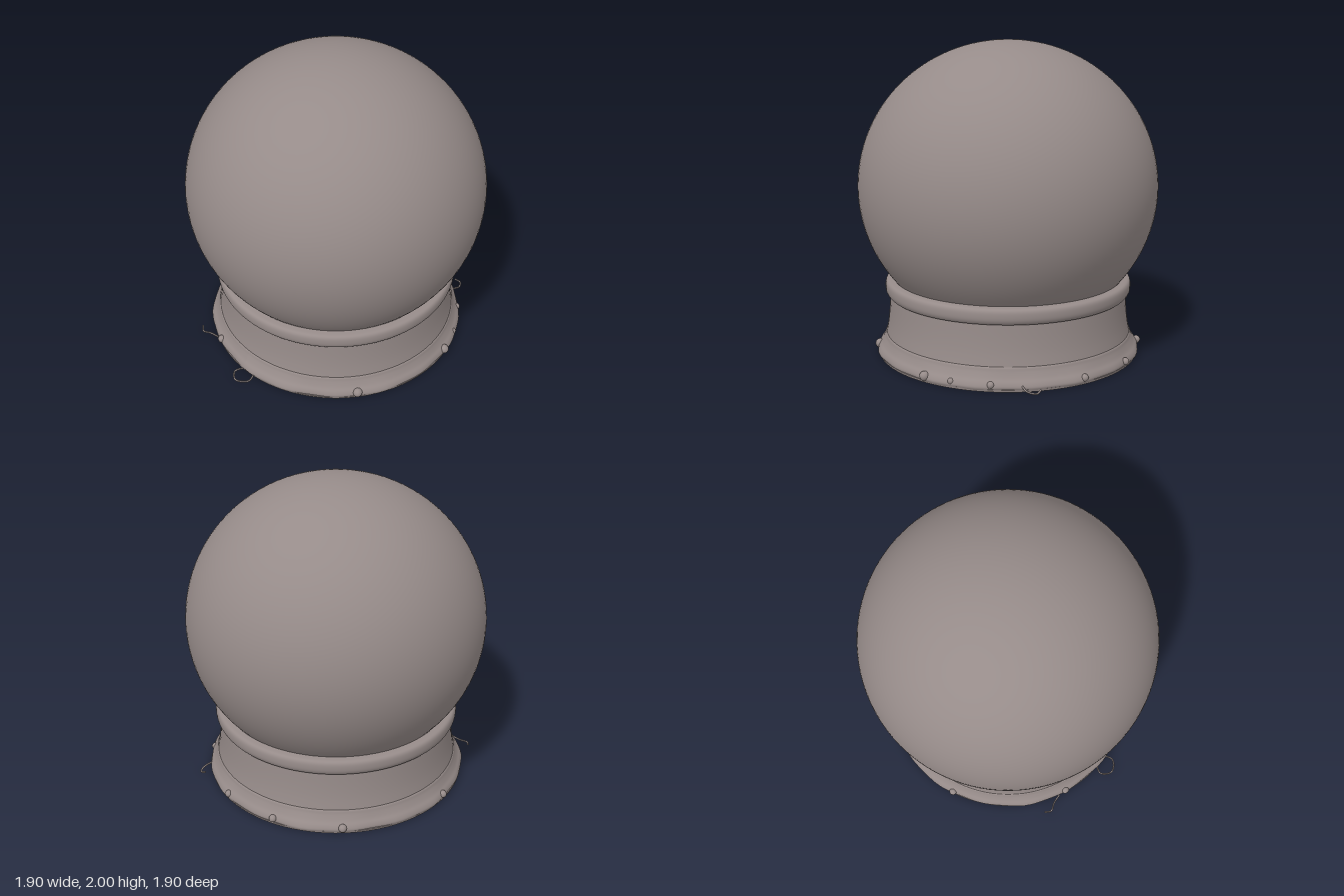
import * as THREE from 'three';

export function createModel() {
  const group = new THREE.Group();
  const stone = new THREE.MeshStandardMaterial({ color: 0x968b89 });
  stone.name = 'warm grey';

  const add = (name, geometry) => {
    const mesh = new THREE.Mesh(geometry, stone);
    mesh.name = name;
    group.add(mesh);
    return mesh;
  };
  const lathe = (points, smooth = 0) => {
    let pts = points.map(([r, y]) => new THREE.Vector2(r, y));
    if (smooth) pts = new THREE.SplineCurve(pts).getPoints(smooth);
    return new THREE.LatheGeometry(pts, 96);
  };

  // Slightly squat globe sunk into the collar
  const globe = add('globe', new THREE.SphereGeometry(1, 96, 64));
  globe.scale.set(0.95, 0.92, 0.95);
  globe.position.y = 1.08;

  // Concave wall of the stand
  add('standWall', lathe([[0.79, 0.12], [0.774, 0.21], [0.764, 0.3], [0.757, 0.41]], 16));

  // Rounded collar around the globe
  add('collar', lathe([[0.752, 0.39], [0.772, 0.395], [0.785, 0.415], [0.789, 0.44],
    [0.786, 0.47], [0.774, 0.487], [0.75, 0.493], [0.725, 0.493], [0.715, 0.47]], 40));

  // Flared foot with a gently uneven edge
  const foot = lathe([[0.78, 0.145], [0.791, 0.137], [0.798, 0.115], [0.815, 0.08],
    [0.833, 0.055], [0.842, 0.03], [0.834, 0.012]].reverse(), 20);
  const p = foot.attributes.position;
  for (let i = 0; i < p.count; i++) {
    const a = Math.atan2(p.getX(i), p.getZ(i));
    const low = Math.max(0, 1 - p.getY(i) / 0.12);
    const k = 1 + low * (0.006 * Math.sin(7 * a) + 0.005 * Math.sin(17 * a + 1));
    p.setX(i, p.getX(i) * k);
    p.setZ(i, p.getZ(i) * k);
  }
  foot.computeVertexNormals();
  add('foot', foot);

  // Flat underside
  const underside = add('underside', new THREE.CylinderGeometry(0.84, 0.836, 0.015, 96));
  underside.position.y = 0.0125;

  // Small beads stuck around the foot: x, z, radius
  const beads = [[0.68, 0.48, 0.03], [-0.29, 0.78, 0.026], [0.81, -0.2, 0.03],
    [0.74, -0.37, 0.02], [0.6, -0.57, 0.022], [-0.81, 0.2, 0.025],
    [0.09, -0.83, 0.024], [-0.3, -0.78, 0.024], [-0.66, -0.52, 0.026]];
  for (const [x, z, r] of beads) {
    add('footBead', new THREE.SphereGeometry(r, 16, 12)).position.set(x, 0.045, z);
  }

  // Thin stray strands trailing from the foot
  const strands = [
    [[0.08, 0.02, 0.82], [0.1, 0.015, 0.89], [0.03, 0.012, 0.94], [-0.03, 0.012, 0.89], [0, 0.015, 0.82]],
    [[-0.34, 0.02, 0.77], [-0.41, 0.015, 0.78], [-0.46, 0.012, 0.8], [-0.5, 0.015, 0.77]],
    [[0.46, 0.04, -0.69], [0.47, 0.025, -0.75], [0.44, 0.02, -0.8], [0.4, 0.03, -0.79]],
  ];
  for (const s of strands) {
    const curve = new THREE.CatmullRomCurve3(s.map((v) => new THREE.Vector3(...v)));
    add('strand', new THREE.TubeGeometry(curve, 24, 0.006, 6));
  }
  return group;
}
